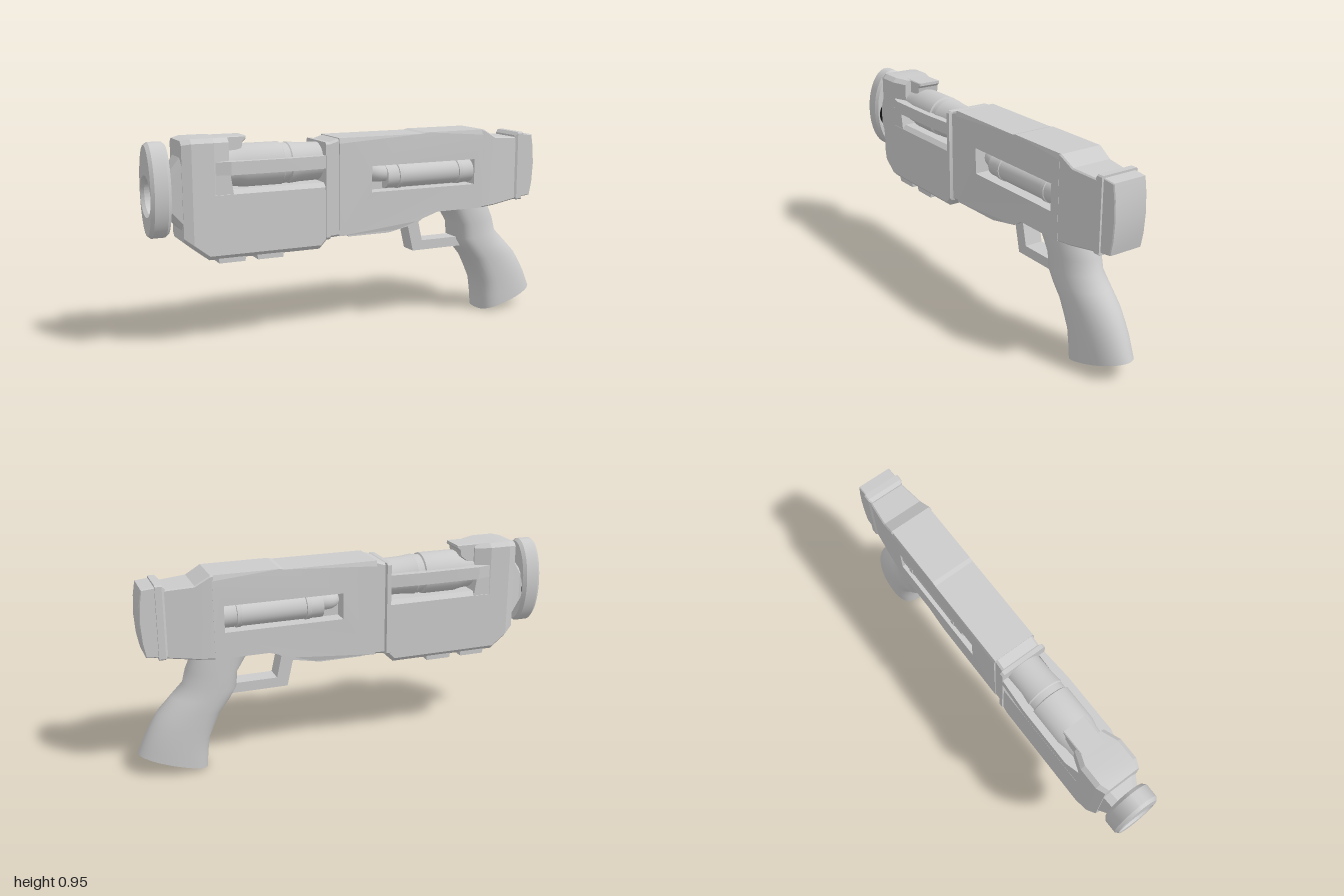
import * as THREE from 'three';
import { toCreasedNormals } from 'three/addons/utils/BufferGeometryUtils.js';

const material = new THREE.MeshStandardMaterial({ color: 0xcccccc });
const boreMaterial = new THREE.MeshStandardMaterial({ color: 0x111111 });

export function createModel() {
  const group = new THREE.Group();

  function add(name, geometry, crease = 0.5) {
    const mesh = new THREE.Mesh(toCreasedNormals(geometry, crease), material);
    mesh.name = name;
    group.add(mesh);
    return mesh;
  }

  // Skin a list of equal-length rings and close both ends.
  function skin(rings) {
    const n = rings[0].length, positions = [], index = [];
    rings.forEach(r => r.forEach(p => positions.push(...p)));
    for (let s = 0; s < rings.length - 1; s++) {
      for (let i = 0; i < n; i++) {
        const a = s * n + i, b = s * n + (i + 1) % n;
        index.push(a, b, a + n, b, b + n, a + n);
      }
    }
    const last = (rings.length - 1) * n;
    for (let i = 1; i < n - 1; i++) {
      index.push(0, i + 1, i, last, last + i, last + i + 1);
    }
    const g = new THREE.BufferGeometry();
    g.setAttribute('position', new THREE.Float32BufferAttribute(positions, 3));
    g.setIndex(index);
    return g;
  }

  // Chamfered rectangular sections along x: [x, bottom, top, halfWidth, chamfer]
  function loft(name, sections, crease) {
    return add(name, skin(sections.map(([x, b, t, w, c]) => [
      [x, t, -w + c], [x, t, w - c], [x, t - c, w], [x, b + c, w],
      [x, b, w - c], [x, b, -w + c], [x, b + c, -w], [x, t - c, -w],
    ])), crease);
  }

  // Side profile extruded across z, centred, with an optional bevel.
  const outline = points => points.map(p => new THREE.Vector2(...p));
  function slab(shape, halfWidth, bevel = 0) {
    const depth = 2 * (halfWidth - bevel);
    return new THREE.ExtrudeGeometry(shape, {
      depth, bevelEnabled: bevel > 0, bevelSize: bevel, bevelThickness: bevel,
      bevelOffset: -bevel, bevelSegments: 1,
    }).translate(0, 0, -depth / 2);
  }
  const plate = (name, points, halfWidth, bevel) =>
    add(name, slab(new THREE.Shape(outline(points)), halfWidth, bevel), 0.3);

  // Turned part along x from [x, radius] pairs.
  function turned(name, profile, y, z) {
    const g = new THREE.LatheGeometry(profile.map(([x, r]) => new THREE.Vector2(r, -x)).reverse(), 32);
    g.rotateZ(Math.PI / 2).translate(0, y, z);
    return add(name, g, 0.5);
  }

  // Receiver with side window, its sides drawn in towards the top and bottom
  const body = new THREE.Shape(outline([
    [-0.13, 0.47], [0.17, 0.475], [0.275, 0.508], [0.39, 0.545], [0.64, 0.545],
    [0.64, 0.905], [0.64, 0.93], [0.33, 0.93], [0.31, 0.925], [-0.13, 0.925], [-0.13, 0.9],
  ]));
  body.holes.push(new THREE.Path(outline([[0.035, 0.665], [0.035, 0.788], [0.592, 0.788], [0.592, 0.665]])));
  const receiver = slab(body, 0.109);
  const pos = receiver.attributes.position;
  for (let i = 0; i < pos.count; i++) {
    const y = pos.getY(i);
    if (y > 0.91 || y < 0.5) pos.setZ(i, pos.getZ(i) * 0.94);
  }
  add('receiver', receiver, 0.15);
  plate('receiverKeel', [[-0.09, 0.49], [-0.07, 0.458], [0.14, 0.458], [0.29, 0.488], [0.38, 0.545]], 0.075);
  loft('receiverCollar', [
    [-0.2, 0.462, 0.91, 0.115, 0.01], [-0.18, 0.462, 0.91, 0.115, 0.01],
    [-0.175, 0.466, 0.908, 0.1, 0.01], [-0.12, 0.47, 0.925, 0.1, 0.01],
  ], 0.3);
  loft('receiverTail', [
    [0.635, 0.545, 0.93, 0.108, 0.006], [0.645, 0.545, 0.93, 0.108, 0.006],
    [0.715, 0.55, 0.89, 0.102, 0.006], [0.86, 0.57, 0.88, 0.085, 0.006],
  ], 0.2);

  // Butt plate and its crowned pad
  loft('buttCollar', [
    [0.84, 0.58, 0.89, 0.084, 0.006], [0.855, 0.565, 0.905, 0.093, 0.006],
    [0.885, 0.565, 0.905, 0.093, 0.006],
  ], 0.3);
  plate('buttPad', [
    [0.87, 0.575], [0.94, 0.583], [0.953, 0.65], [0.959, 0.74], [0.954, 0.825], [0.943, 0.89], [0.87, 0.897],
  ], 0.084, 0.004);

  // Tubes seen through the window on each side
  add('windowCore', new THREE.BoxGeometry(0.6, 0.16, 0.07).translate(0.313, 0.725, 0));
  for (const s of [-1, 1]) {
    turned('windowTube', [
      [0.125, 0], [0.125, 0.057], [0.185, 0.057], [0.187, 0.061], [0.205, 0.061], [0.207, 0.057],
      [0.51, 0.057], [0.512, 0.061], [0.53, 0.061], [0.532, 0.057], [0.6, 0.057], [0.6, 0],
    ], 0.727, s * 0.045);
    const bend = new THREE.QuadraticBezierCurve3(
      new THREE.Vector3(0.14, 0.742, s * 0.05), new THREE.Vector3(0.07, 0.742, s * 0.065),
      new THREE.Vector3(0.06, 0.742, s * 0.01));
    add('windowElbow', new THREE.TubeGeometry(bend, 10, 0.038, 16), 1);
  }

  // Grip: [frontX, frontY, backX, backY] per section, squarer in front and rounder behind
  const grip = [
    [0.46, 0.56, 0.7, 0.6], [0.475, 0.54, 0.725, 0.55], [0.525, 0.46, 0.758, 0.475],
    [0.532, 0.385, 0.775, 0.41], [0.565, 0.33, 0.83, 0.355], [0.607, 0.278, 0.897, 0.285],
    [0.64, 0.21, 0.935, 0.225], [0.666, 0.15, 0.962, 0.175], [0.676, 0.075, 0.982, 0.13],
    [0.682, 0.003, 0.997, 0.096],
  ];
  const power = (v, e) => Math.sign(v) * Math.abs(v) ** e;
  add('grip', skin(grip.map(([ax, ay, bx, by]) => Array.from({ length: 36 }, (_, i) => {
    const a = i / 36 * Math.PI * 2, c = Math.cos(a), front = c < 0;
    const u = 0.4 + (front ? 0.4 * power(c, 0.7) : 0.6 * c);
    return [ax + (bx - ax) * u, ay + (by - ay) * u, 0.104 * power(Math.sin(a), front ? 0.7 : 1)];
  }))), 0.8);

  // Trigger guard
  plate('triggerGuard', [
    [0.255, 0.5], [0.29, 0.348], [0.56, 0.348], [0.56, 0.395], [0.34, 0.395], [0.312, 0.52],
  ], 0.045);

  // Front block around the barrel, with top lug
  loft('frontBlock', [
    [-0.86, 0.505, 0.945, 0.09, 0.018], [-0.82, 0.472, 0.953, 0.107, 0.02],
    [-0.75, 0.418, 0.953, 0.107, 0.02], [-0.72, 0.418, 0.953, 0.107, 0.02],
    [-0.645, 0.418, 0.95, 0.078, 0.02],
  ], 0.2);
  plate('slotFront', [[-0.72, 0.7], [-0.635, 0.7], [-0.65, 0.8], [-0.72, 0.8]], 0.106);
  plate('topLug', [
    [-0.7, 0.86], [-0.62, 0.86], [-0.575, 0.895], [-0.57, 0.925], [-0.555, 0.938], [-0.555, 0.952], [-0.7, 0.952],
  ], 0.058, 0.004).position.z = -0.012;

  // Fore-end, grip ribs and side rails
  loft('foreEnd', [
    [-0.72, 0.418, 0.725, 0.107, 0.02], [-0.225, 0.418, 0.725, 0.107, 0.02],
    [-0.19, 0.455, 0.725, 0.107, 0.02],
  ], 0.2);
  for (const x of [-0.645, -0.465]) {
    plate('foreEndRib', [
      [x - 0.065, 0.43], [x - 0.06, 0.399], [x + 0.06, 0.399], [x + 0.065, 0.43],
    ], 0.09);
  }
  for (const s of [-1, 1]) {
    const rail = new THREE.Shape(outline([
      [-0.72, 0.07], [-0.72, 0.104], [-0.65, 0.124], [-0.36, 0.124], [-0.2, 0.114], [-0.2, 0.085],
    ].map(([x, z]) => [x, -s * z])));
    const g = new THREE.ExtrudeGeometry(rail, { depth: 0.058, bevelEnabled: false });
    add('sideRail', g.rotateX(-Math.PI / 2).translate(0, 0.792, 0), 0.2);
  }

  // Upper tube with bands
  turned('upperTube', [
    [-0.68, 0], [-0.68, 0.085], [-0.6, 0.09], [-0.56, 0.099], [-0.39, 0.099], [-0.385, 0.092],
    [-0.355, 0.092], [-0.35, 0.096], [-0.3, 0.09], [-0.19, 0.087], [-0.19, 0],
  ], 0.815, 0);

  // Muzzle neck, oval muzzle ring and dark bore
  loft('muzzleNeck', [
    [-0.925, 0.61, 0.81, 0.07, 0.03], [-0.905, 0.61, 0.81, 0.07, 0.03], [-0.855, 0.55, 0.88, 0.088, 0.03],
  ], 0.3);
  const oval = new THREE.Shape().absellipse(0, 0.73, 0.11, 0.21, 0, Math.PI * 2);
  oval.holes.push(new THREE.Path().absarc(0, 0.705, 0.08, 0, Math.PI * 2, true));
  const ring = new THREE.ExtrudeGeometry(oval, {
    depth: 0.06, bevelSize: 0.012, bevelOffset: -0.012, bevelThickness: 0.015, bevelSegments: 1, curveSegments: 40,
  });
  add('muzzleRing', ring.rotateY(Math.PI / 2).translate(-0.984, 0, 0), 0.4);
  turned('bore', [[-0.93, 0], [-0.93, 0.085], [-0.92, 0.085], [-0.92, 0]], 0.705, 0).material = boreMaterial;

  return group;
}
